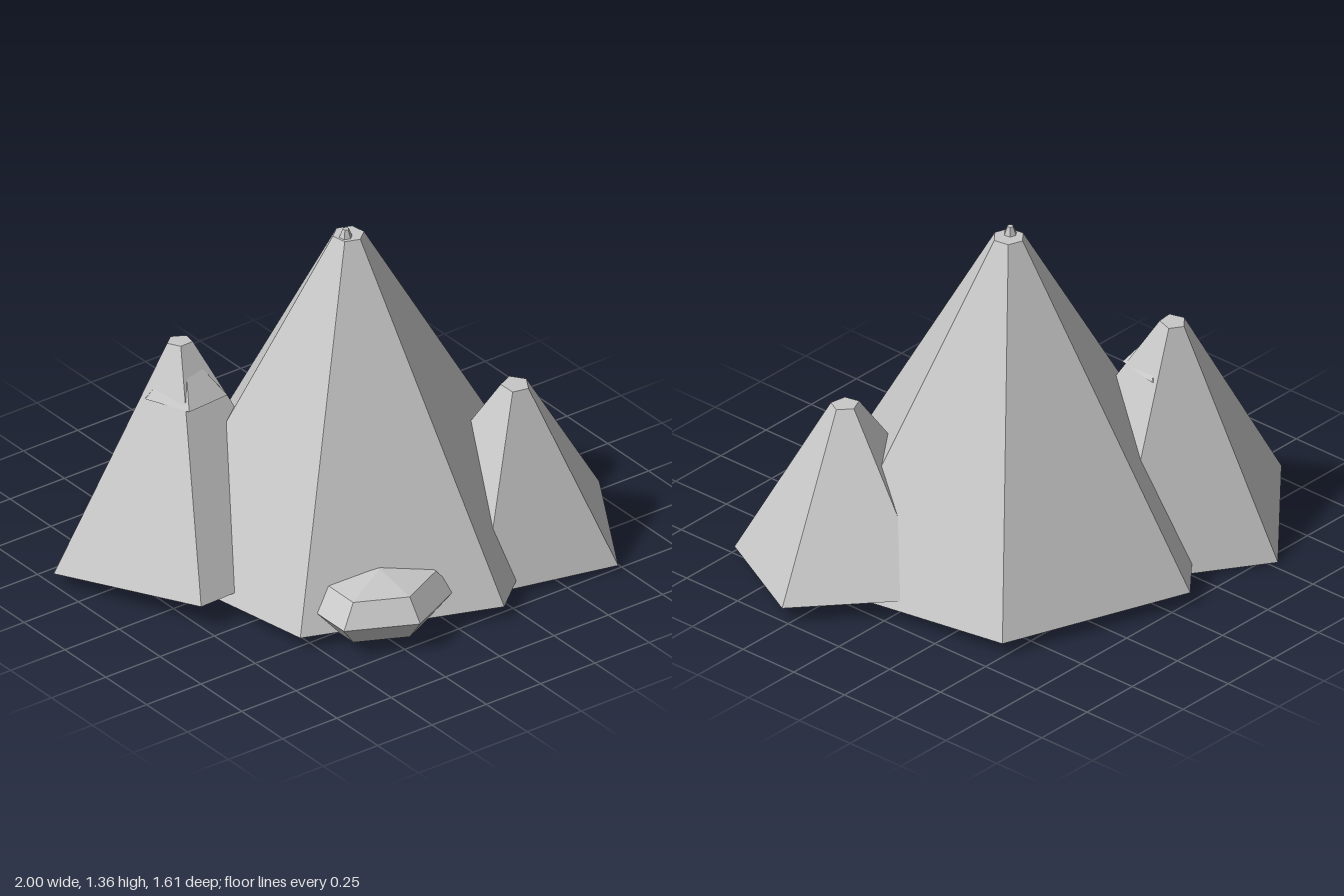
import * as THREE from 'three';

const rockGrey = new THREE.MeshStandardMaterial({ color: 0xc8c8c8, flatShading: true });
rockGrey.name = 'rock grey';

const UP = new THREE.Vector3(0, 1, 0);

// Faceted peak: blunt cone standing at (x, y, z), turned about its axis and leaning along `axis`
function peak(name, { sides, base, top, height, at, turn, axis = [0, 1, 0] }) {
  const geometry = new THREE.CylinderGeometry(top, base, height, sides, 1, false, THREE.MathUtils.degToRad(turn));
  geometry.translate(0, height / 2, 0);
  const mesh = new THREE.Mesh(geometry, rockGrey);
  mesh.name = name;
  mesh.position.set(...at);
  mesh.quaternion.setFromUnitVectors(UP, new THREE.Vector3(...axis).normalize());
  return mesh;
}

export function createModel() {
  const group = new THREE.Group();
  group.name = 'rockyMountains';

  group.add(
    // Central peak with its tiny tip
    peak('mainPeak', { sides: 6, base: 0.785, top: 0.06, height: 1.277, at: [0.045, 0.048, 0.014], turn: 10 }),
    peak('mainTip', { sides: 6, base: 0.032, top: 0.012, height: 0.05, at: [0.025, 1.308, 0.024], turn: 10 }),
    // Rear right peak and its upright cap, which only breaks the surface at the front
    peak('rightPeak', {
      sides: 5, base: 0.536, top: 0.05, height: 0.833,
      at: [-0.481, 0.051, -0.273], turn: -31.4, axis: [0.0214, 1, -0.0857],
    }),
    peak('rightCap', { sides: 5, base: 0.16, top: 0.01, height: 0.16, at: [-0.469, 0.69, -0.303], turn: -31.4 }),
    // Front left peak
    peak('leftPeak', {
      sides: 5, base: 0.468, top: 0.055, height: 0.635,
      at: [0.537, 0.051, 0.33], turn: 24.4, axis: [0, 1, 0.083],
    }),
  );

  // Squat boulder at the front foot
  const profile = [[0, -0.12], [0.185, -0.085], [0.25, 0], [0.185, 0.085], [0, 0.12]];
  const boulder = new THREE.Mesh(
    new THREE.LatheGeometry(profile.map(([r, y]) => new THREE.Vector2(r, y)), 6),
    rockGrey,
  );
  boulder.name = 'boulder';
  boulder.scale.x = 1.19;
  boulder.position.set(-0.215, 0.12, 0.55);
  group.add(boulder);

  return group;
}
